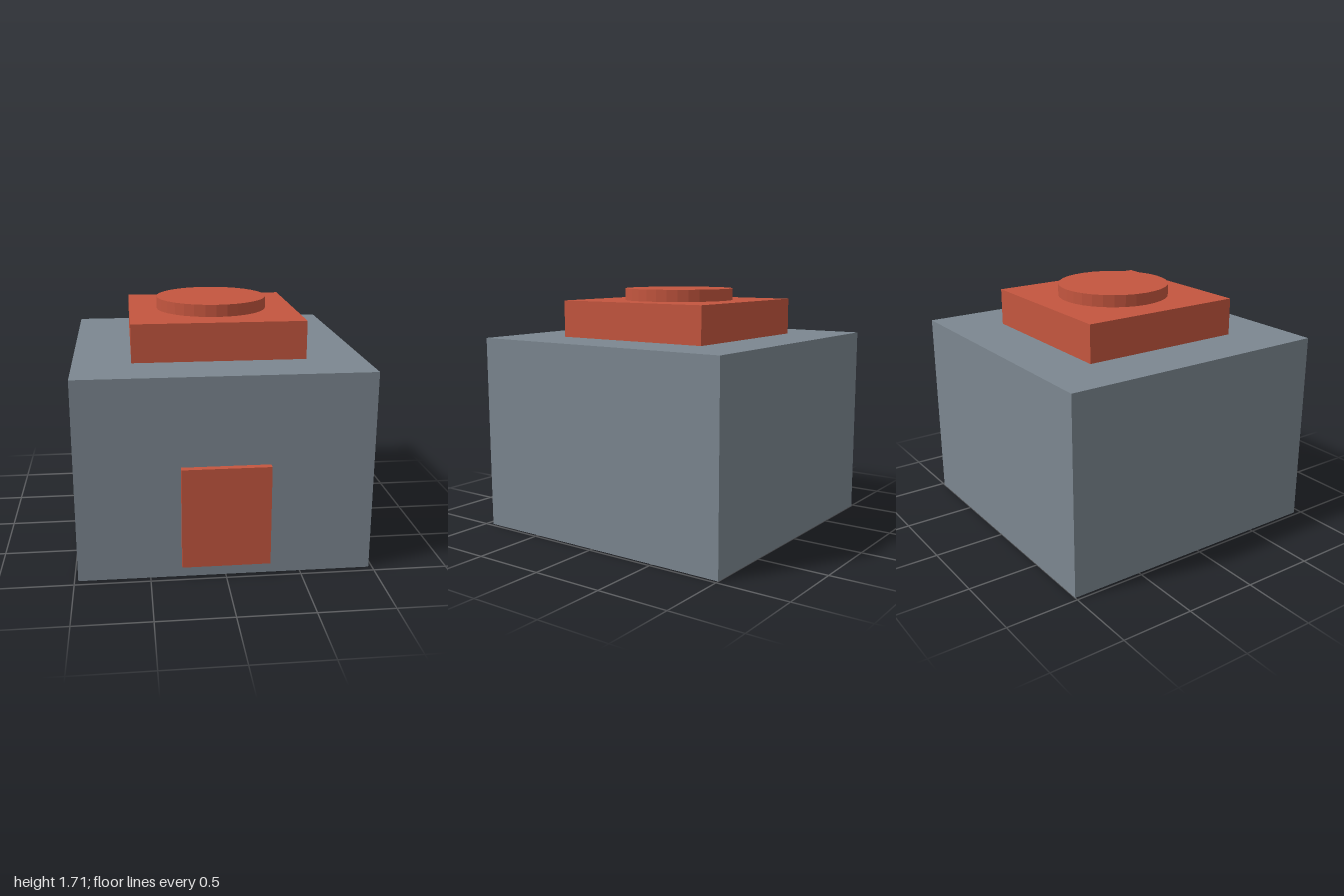
import * as THREE from 'three';

const slate = new THREE.MeshStandardMaterial({ color: 0x7c8790 });
const red = new THREE.MeshStandardMaterial({ color: 0xc4563f, flatShading: true });

export function createModel() {
  const model = new THREE.Group();
  model.name = 'blockHouse';

  // Places a part by its base height
  const add = (name, geometry, material, height, base, z) => {
    const mesh = new THREE.Mesh(geometry, material);
    mesh.name = name;
    mesh.position.set(0, base + height / 2, z);
    model.add(mesh);
  };
  const box = (name, material, w, h, d, base, z) =>
    add(name, new THREE.BoxGeometry(w, h, d), material, h, base, z);

  const centreZ = -0.0245; // the door projects forward, so the body sits back

  // Main block
  box('body', slate, 1.951, 1.366, 1.951, 0, centreZ);

  // Stepped roof: square slab with a round cap
  box('roofSlab', red, 1.171, 0.259, 1.171, 1.366, centreZ);
  add('roofCap', new THREE.CylinderGeometry(0.39, 0.39, 0.083, 32), red, 0.083, 1.625, centreZ);

  // Door panel, half sunk into the front wall
  box('door', red, 0.585, 0.683, 0.098, 0.087, 0.951);

  return model;
}
